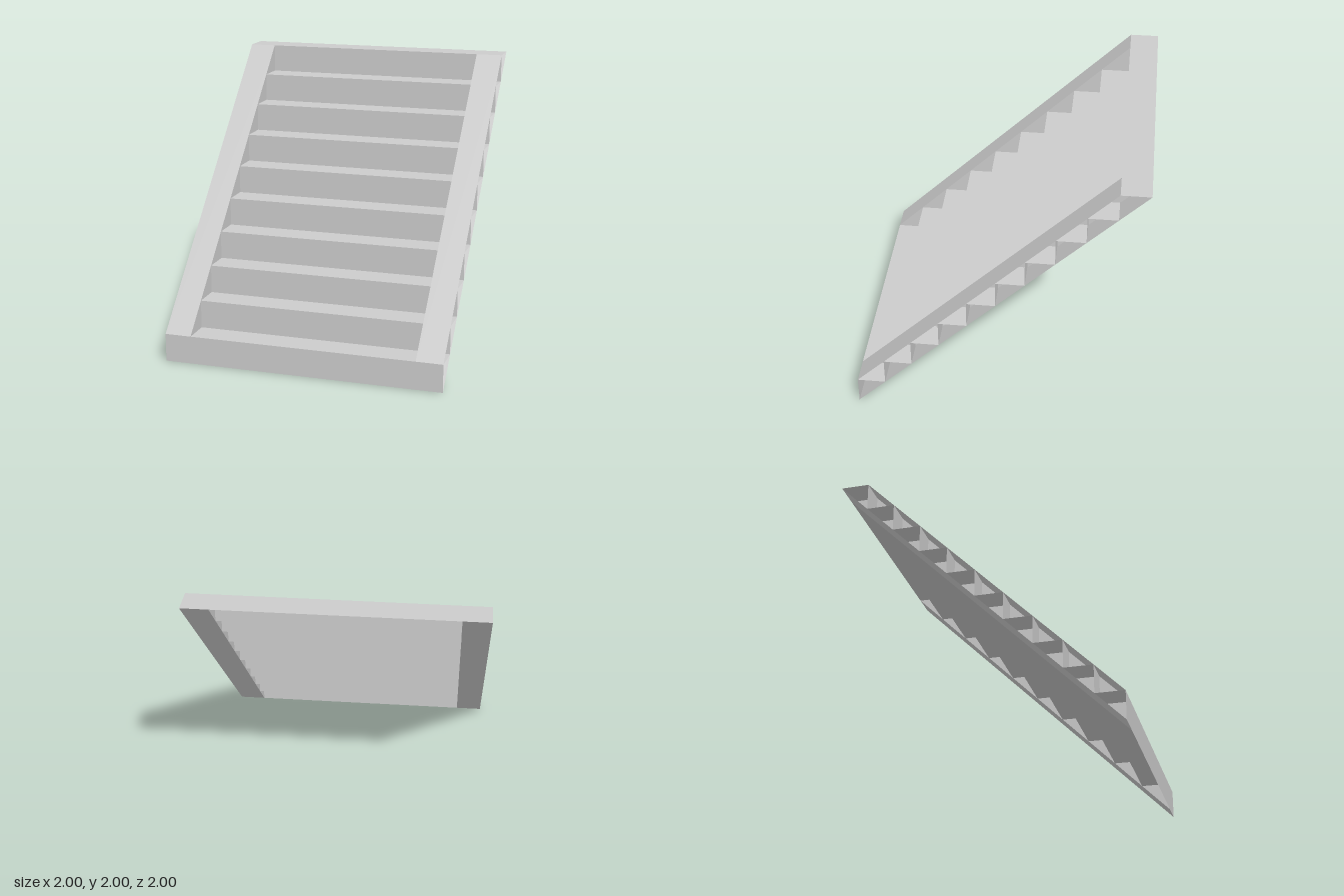
import * as THREE from 'three';

const STEPS = 10, SIZE = 0.2, HALF = 1, INNER = 0.81;
const material = new THREE.MeshStandardMaterial({ color: 0xcccccc, side: THREE.DoubleSide });

// Thin four-cornered panel, corners counter-clockwise seen from its front
function panel(name, a, b, c, d) {
  const geometry = new THREE.BufferGeometry();
  geometry.setAttribute('position', new THREE.Float32BufferAttribute([a, b, c, a, c, d].flat(), 3));
  geometry.computeVertexNormals();
  const mesh = new THREE.Mesh(geometry, material);
  mesh.name = name;
  return mesh;
}

// Panel spanning x0..x1 between two [y, z] points
function strip(name, x0, x1, [y0, z0], [y1, z1]) {
  return panel(name, [x0, y0, z0], [x1, y0, z0], [x1, y1, z1], [x0, y1, z1]);
}

export function createModel() {
  const model = new THREE.Group();
  model.name = 'staircase';

  // Folded sheet of risers and treads, full width
  const steps = new THREE.Group();
  steps.name = 'steps';
  for (let i = 0; i < STEPS; i++) {
    const y = i * SIZE, z = 1 - i * SIZE;
    steps.add(
      strip('riser', -HALF, HALF, [y, z], [y + SIZE, z]),
      strip('tread', -HALF, HALF, [y + SIZE, z], [y + SIZE, z - SIZE]),
    );
  }
  model.add(steps);

  // Stringers: sloping top and bottom bands with an inner wall, open outwards
  for (const side of [-1, 1]) {
    const stringer = new THREE.Group();
    stringer.name = side > 0 ? 'leftStringer' : 'rightStringer';
    const x0 = side > 0 ? INNER : -HALF, x1 = side > 0 ? HALF : -INNER;
    const x = side * INNER;
    const wall = [[x, 0, 1], [x, 2, -1], [x, 2, -0.8], [x, SIZE, 1]];
    if (side < 0) wall.reverse();
    stringer.add(
      strip('topBand', x0, x1, [SIZE, 1], [2, -0.8]),
      strip('bottomBand', x0, x1, [2, -1], [0, 1]),
      panel('innerWall', ...wall),
    );
    model.add(stringer);
  }
  return model;
}
